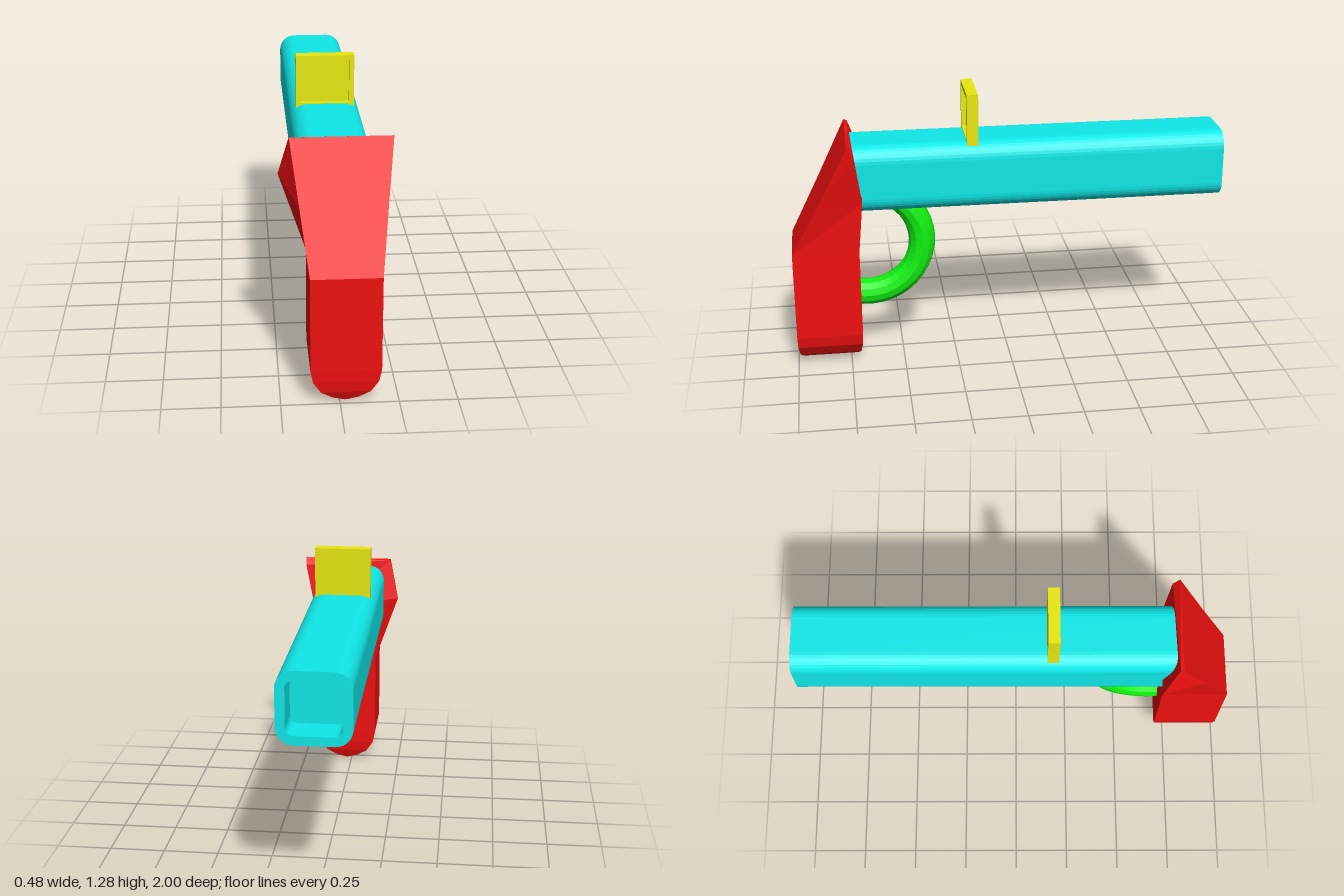
import * as THREE from 'three';

const mat = (color) => new THREE.MeshStandardMaterial({ color, flatShading: true, side: THREE.DoubleSide });

function add(group, name, geometry, material, x = 0, y = 0, z = 0) {
  const mesh = new THREE.Mesh(geometry, material);
  mesh.name = name;
  mesh.position.set(x, y, z);
  group.add(mesh);
  return mesh;
}

// Rounded square outline centred on the origin
function roundedSquare(Type, half, r) {
  const s = new Type();
  const c = half - r;
  s.moveTo(half, -c);
  [[c, c], [-c, c], [-c, -c], [c, -c]].forEach(([x, y], i) =>
    s.absarc(x, y, r, i * Math.PI / 2, (i + 1) * Math.PI / 2, false));
  return s;
}

const extrude = (shape, depth) =>
  new THREE.ExtrudeGeometry(shape, { depth, bevelEnabled: false, curveSegments: 4 });

// Skin through four-cornered sections, listed from top to bottom
function loft(rows) {
  const pos = [];
  const tri = (a, b, c) => pos.push(...a, ...b, ...c);
  for (let i = 0; i < rows.length - 1; i++) {
    for (let j = 0; j < 4; j++) {
      const k = (j + 1) % 4;
      const [t, b] = [rows[i], rows[i + 1]];
      tri(t[j], t[k], b[k]);
      tri(t[j], b[k], b[j]);
    }
  }
  const top = rows[0], end = rows[rows.length - 1];
  tri(top[0], top[3], top[2]);
  tri(top[0], top[2], top[1]);
  tri(end[0], end[1], end[2]);
  tri(end[0], end[2], end[3]);
  const g = new THREE.BufferGeometry();
  g.setAttribute('position', new THREE.Float32BufferAttribute(pos, 3));
  g.computeVertexNormals();
  return g;
}

export function createModel() {
  const group = new THREE.Group();
  const red = mat(0xf01010), cyan = mat(0x10e8e8), green = mat(0x10f010), yellow = mat(0xe8e810);

  // Grip: wedge-shaped upper part with a skewed back, straight below, rounded end
  const rows = [
    [[0.24, 1.095, 0.735], [-0.195, 1.095, 0.735], [-0.195, 1.09, 0.72], [0.236, 1.06, 0.705]],
    [[0.207, 0.835, 0.865], [-0.16, 0.835, 0.865], [-0.24, 0.91, 0.658], [0.185, 0.82, 0.673]],
  ];
  const lower = [ // y, half width, front z, back z
    [0.575, 0.15, 1, 0.695], [0.155, 0.15, 1, 0.695], [0.1, 0.139, 0.998, 0.697],
    [0.048, 0.105, 0.99, 0.705], [0.015, 0.055, 0.975, 0.718], [0, 0.004, 0.968, 0.725],
  ];
  for (const [y, w, f, b] of lower) {
    const l = 0.025 + w, r = 0.025 - w;
    rows.push([[l, y, f], [r, y, f], [r, y, b], [l, y, b]]);
  }
  add(group, 'grip', loft(rows), red);

  // Barrel: solid rounded square bar with a shallow square recess at the back end
  const cx = -0.007, cy = 0.903, half = 0.158, recess = 0.15;
  const muzzle = roundedSquare(THREE.Shape, half, 0.075);
  muzzle.holes.push(roundedSquare(THREE.Path, 0.117, 0.035));
  const barrel = new THREE.Group();
  barrel.name = 'barrel';
  group.add(barrel);
  add(barrel, 'barrelBody', extrude(roundedSquare(THREE.Shape, half, 0.075), 1.72 - recess), cyan, cx, cy, -1 + recess);
  add(barrel, 'muzzle', extrude(muzzle, recess), cyan, cx, cy, -1);

  // Trigger guard: half ring running from the grip up into the barrel
  const deg = Math.PI / 180;
  const ring = new THREE.TorusGeometry(0.258, 0.062, 12, 22, 195 * deg);
  ring.rotateZ(-105 * deg).rotateY(Math.PI / 2);
  add(group, 'triggerGuard', ring, green, 0.02, 0.565, 0.655);

  // Sight: upright plate with a raised rim on the front
  const w = 0.26, h = 0.24, rim = 0.022;
  const frame = new THREE.Shape();
  const hole = new THREE.Path();
  const rect = (p, a, b) => p.moveTo(-a, -b).lineTo(a, -b).lineTo(a, b).lineTo(-a, b).closePath();
  rect(frame, w / 2, h / 2);
  rect(hole, w / 2 - rim, h / 2 - rim);
  frame.holes.push(hole);
  const sight = new THREE.Group();
  sight.name = 'sight';
  sight.position.set(-0.008, 1.164, 0);
  group.add(sight);
  add(sight, 'sightPlate', new THREE.BoxGeometry(w, h, 0.03), yellow, 0, 0, 0.153);
  add(sight, 'sightRim', extrude(frame, 0.022), yellow, 0, 0, 0.168);

  return group;
}
